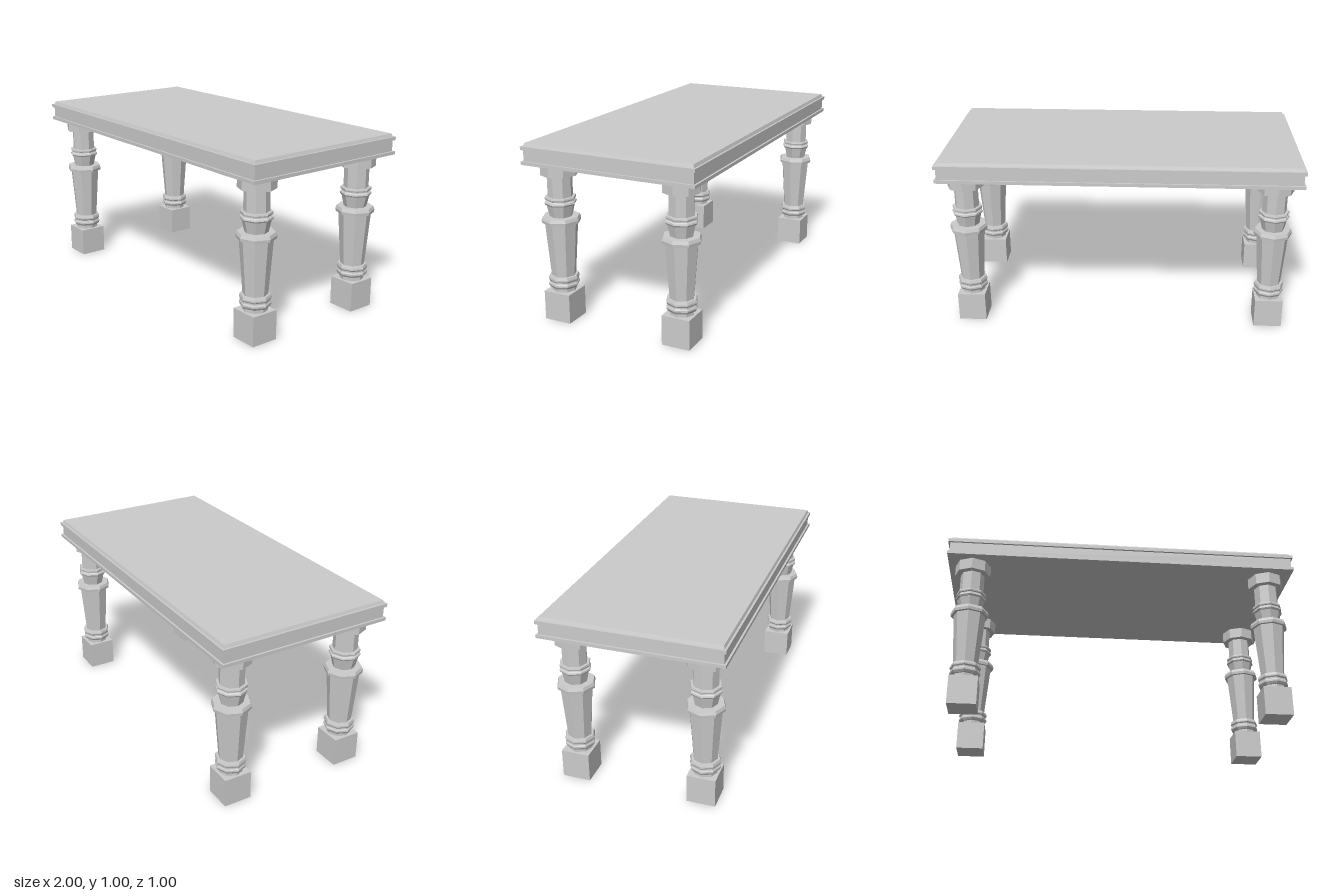
import * as THREE from 'three';

const material = new THREE.MeshStandardMaterial({ color: 0xcccccc, flatShading: true });

// Rectangular slab from y0 to y1, with its upper face inset to form a bevel
function slab(name, halfX, halfZ, y0, y1, inset = 0) {
  const geometry = new THREE.BoxGeometry(halfX * 2, y1 - y0, halfZ * 2);
  const p = geometry.attributes.position;
  for (let i = 0; i < p.count; i++) {
    if (p.getY(i) > 0) {
      p.setX(i, Math.sign(p.getX(i)) * (halfX - inset));
      p.setZ(i, Math.sign(p.getZ(i)) * (halfZ - inset));
    }
  }
  geometry.computeVertexNormals();
  const mesh = new THREE.Mesh(geometry, material);
  mesh.name = name;
  mesh.position.y = (y0 + y1) / 2;
  return mesh;
}

// Octagonal turned section from [radius, height] pairs, bottom to top
function turned(name, profile) {
  const points = profile.map(([r, y]) => new THREE.Vector2(r, y));
  const mesh = new THREE.Mesh(new THREE.LatheGeometry(points, 8), material);
  mesh.name = name;
  return mesh;
}

function createLeg() {
  const leg = new THREE.Group();
  leg.add(
    slab('foot', 0.079, 0.079, 0, 0.165),
    // Double ankle collar
    turned('ankleCollar', [
      [0.067, 0.16], [0.067, 0.187], [0.077, 0.187], [0.085, 0.2], [0.085, 0.209], [0.08, 0.217],
      [0.08, 0.225], [0.085, 0.232], [0.085, 0.24], [0.08, 0.254], [0.067, 0.254],
    ]),
    // Tapered lower shaft
    turned('lowerShaft', [[0.067, 0.254], [0.09, 0.556]]),
    // Wide band around the knee
    turned('kneeBand', [
      [0.09, 0.556], [0.105, 0.556], [0.107, 0.572], [0.1, 0.59], [0.06, 0.59],
    ]),
    // Flared neck with two thin rings
    turned('neckRings', [
      [0.062, 0.59], [0.077, 0.656], [0.082, 0.656], [0.087, 0.664], [0.085, 0.672], [0.077, 0.678],
      [0.077, 0.683], [0.083, 0.685], [0.085, 0.692], [0.083, 0.7], [0.068, 0.7],
    ]),
    turned('upperShaft', [[0.068, 0.7], [0.068, 0.82]]),
    turned('capital', [[0.068, 0.82], [0.1015, 0.82], [0.1015, 0.885]]),
  );
  return leg;
}

export function createModel() {
  const table = new THREE.Group();
  table.name = 'table';

  // Layered table top
  const top = new THREE.Group();
  top.name = 'tableTop';
  top.add(
    slab('lowerTrim', 1, 0.5, 0.885, 0.903),
    slab('apron', 0.989, 0.489, 0.903, 0.964),
    slab('upperTrim', 1, 0.5, 0.964, 0.983),
    slab('bevelledSurface', 0.989, 0.489, 0.983, 1, 0.006),
  );
  table.add(top);

  // Four matching legs
  for (const [x, side] of [[0.86, 'Left'], [-0.86, 'Right']]) {
    for (const [z, end] of [[0.36, 'front'], [-0.36, 'back']]) {
      const leg = createLeg();
      leg.name = `${end}${side}Leg`;
      leg.position.set(x, 0, z);
      table.add(leg);
    }
  }
  return table;
}
